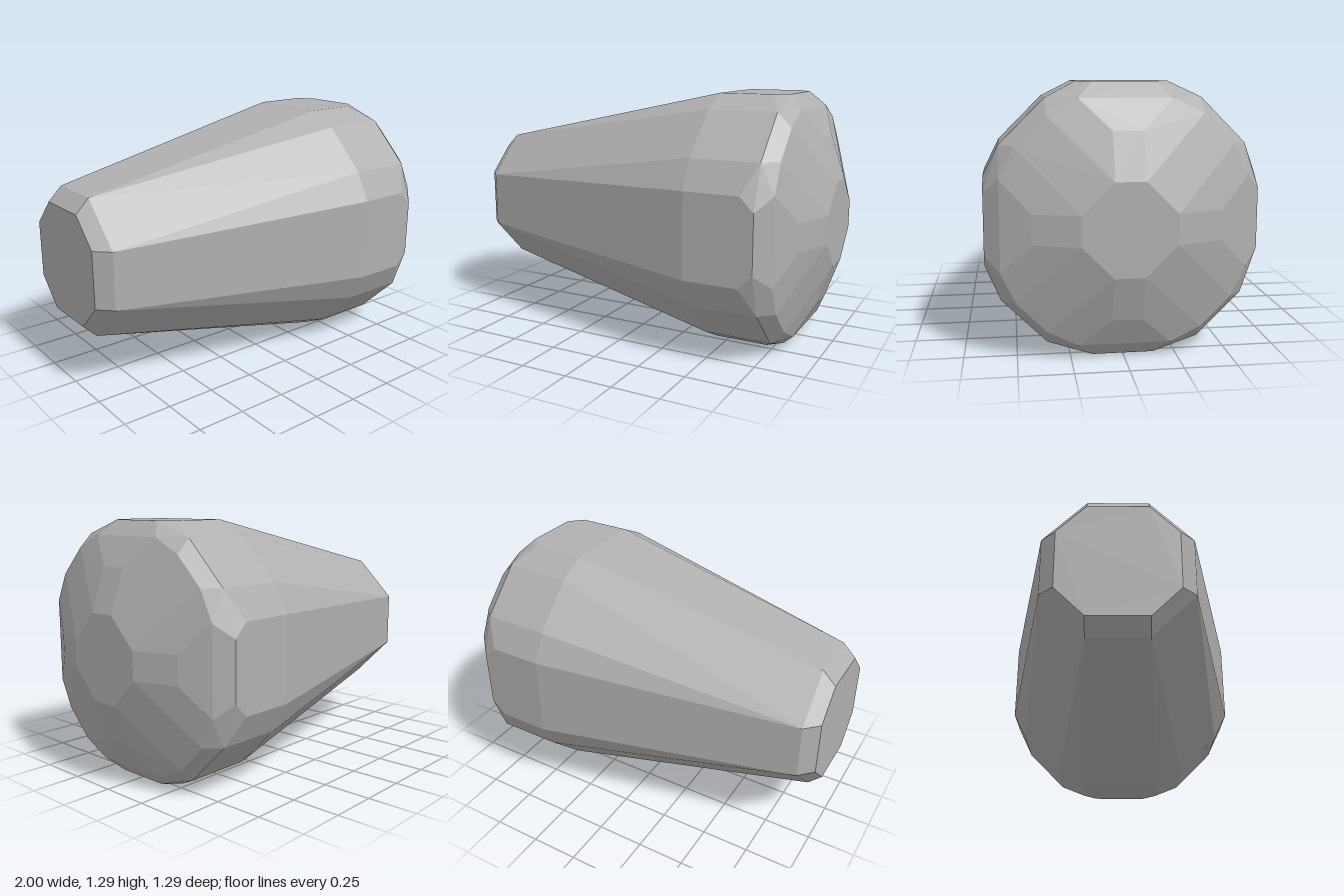
import * as THREE from 'three';
import { ConvexGeometry } from 'three/addons/geometries/ConvexGeometry.js';

// Mirror a few (z, y) corners into all quadrants and across the diagonal.
function ring(x, corners, zShift = 0) {
  const points = [];
  for (const [a, b] of corners)
    for (const [z, y] of [[a, b], [b, a]])
      for (const sz of [1, -1])
        for (const sy of [1, -1])
          points.push(new THREE.Vector3(x, y * sy, z * sz + zShift));
  return points;
}

export function createModel() {
  const group = new THREE.Group();
  group.name = 'facetedPlug';
  const grey = new THREE.MeshStandardMaterial({ color: 0xb0b0b0 });
  grey.name = 'grey';

  const points = [
    // chamfered narrow end
    ...ring(-1, [[0.145, 0.285]], -0.015),
    ...ring(-0.93, [[0.145, 0.355]], -0.015),
    // widest band
    ...ring(0.43, [[0.215, 0.643], [0.36, 0.57]]),
    ...ring(0.71, [[0.215, 0.643]]),
    ...ring(0.78, [[0.145, 0.643], [0.36, 0.57]]),
    // shallow faceted dome
    ...ring(0.85, [[0.215, 0.57], [0.36, 0.5]]),
    ...ring(0.925, [[0.07, 0.43]]),
    ...ring(1, [[0.07, 0.215]]),
  ];

  const body = new THREE.Mesh(new ConvexGeometry(points), grey);
  body.name = 'body';
  body.position.y = 0.644;
  group.add(body);
  return group;
}
